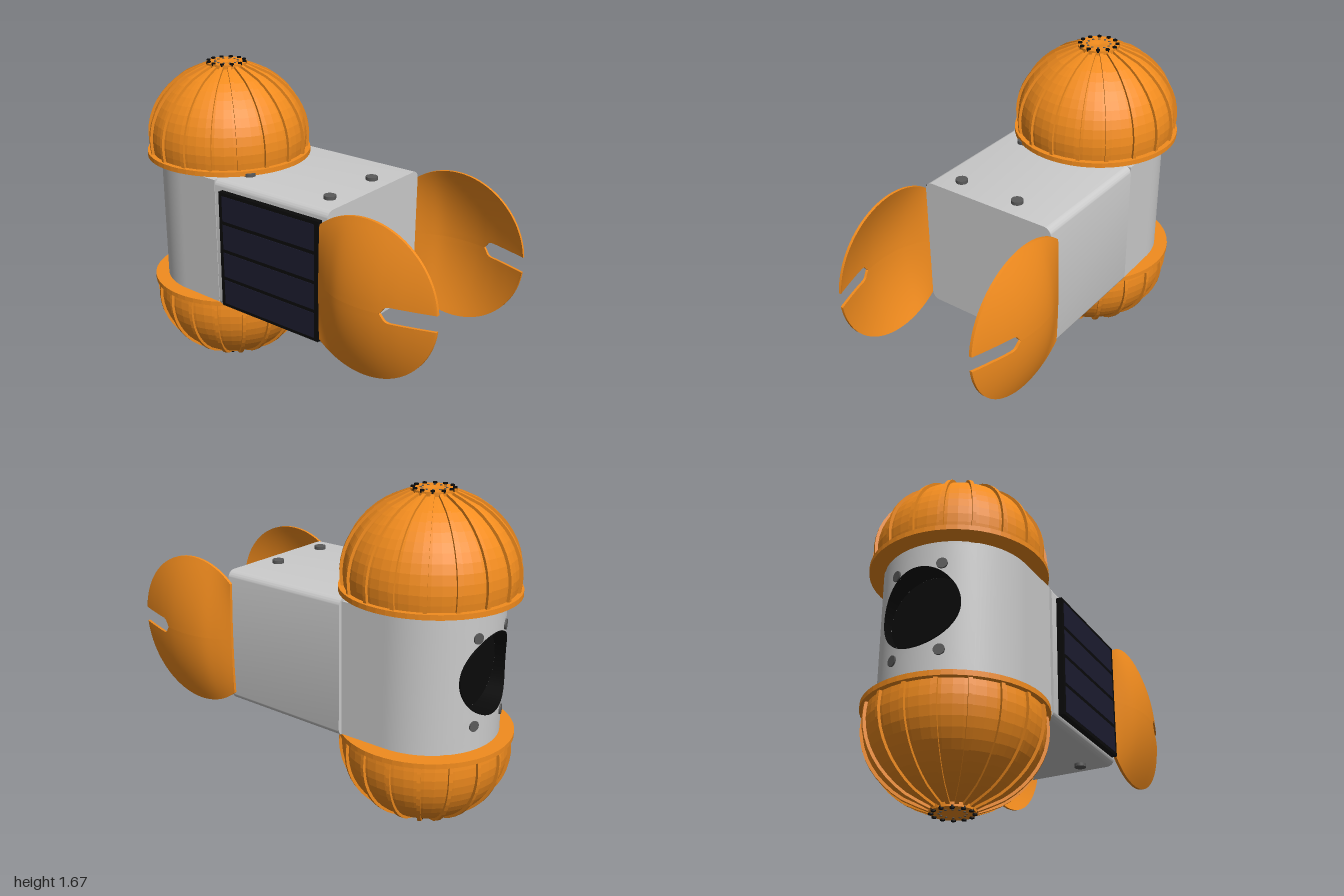
import * as THREE from 'three';
import { toCreasedNormals } from 'three/addons/utils/BufferGeometryUtils.js';

const mat = (color, extra = {}) => new THREE.MeshStandardMaterial({ color, ...extra });
const GREY = mat(0xcccccc), SHELL = mat(0xcccccc, { side: THREE.DoubleSide });
const ORANGE = mat(0xf28c1e), ORANGE_FLAT = mat(0xf28c1e, { flatShading: true });
const BLACK = mat(0x0a0a0a, { side: THREE.DoubleSide }), CELL = mat(0x1c1c30), BOLT = mat(0x5a5a5a);

const CX = -0.57, R = 0.36;            // axis and radius of the round body
const Y0 = 0.495, Y1 = 1.165, HOLE_Y = 0.85, HOLE_R = 0.2, PATCH = 0.25;

function add(parent, name, geometry, material, x = 0, y = 0, z = 0) {
  const mesh = new THREE.Mesh(geometry, material);
  mesh.name = name;
  mesh.position.set(x, y, z);
  parent.add(mesh);
  return mesh;
}

// Moves every vertex of a geometry by a rule
function warp(geometry, rule) {
  const p = geometry.attributes.position, v = new THREE.Vector3();
  for (let i = 0; i < p.count; i++) {
    rule(v.fromBufferAttribute(p, i));
    p.setXYZ(i, v.x, v.y, v.z);
  }
  geometry.computeVertexNormals();
  return geometry;
}

const onCylinder = (z, r = R) => CX - Math.sqrt(r * r - z * z);

// Ribbed dome with a rim at y = 0, growing upwards
function dome(name) {
  const g = new THREE.Group();
  g.name = name;
  const curve = new THREE.SplineCurve([[0.406, 0.025], [0.412, 0.1], [0.397, 0.19], [0.358, 0.275],
    [0.298, 0.35], [0.215, 0.415], [0.105, 0.462]].map(p => new THREE.Vector2(...p)));
  const pts = curve.getPoints(12);
  const V = (x, y) => new THREE.Vector2(x, y);
  add(g, 'domeShell', new THREE.LatheGeometry(
    [V(0, 0), V(0.432, 0), V(0.432, 0.025), ...pts, V(0.105, 0.482), V(0.045, 0.482), V(0, 0.476)], 54), ORANGE_FLAT);
  // Ribs follow the dome profile
  const outer = pts.map(p => V(p.x + 0.014 * p.x / 0.41, p.y + 0.012 * p.y / 0.46));
  const inner = pts.map(p => V(p.x - 0.012, p.y - 0.004)).reverse();
  const rib = new THREE.ExtrudeGeometry(new THREE.Shape([...outer, ...inner]), { depth: 0.018, bevelEnabled: false });
  rib.translate(0, 0, -0.009);
  for (let i = 0; i < 18; i++) add(g, 'domeRib', rib, ORANGE).rotation.y = i * Math.PI / 9;
  // Two rings of screws on the hub
  const ring = (n, r, size, h, m) => {
    const screw = new THREE.CylinderGeometry(size, size, h, 10);
    for (let i = 0; i < n; i++) {
      const a = i / n * Math.PI * 2;
      add(g, 'hubScrew', screw, m, r * Math.cos(a), 0.482, r * Math.sin(a));
    }
  };
  ring(12, 0.095, 0.011, 0.014, BLACK);
  ring(12, 0.06, 0.006, 0.006, BOLT);
  return g;
}

// Bulging round fin with an end slot, cut straight at the box
function fin(name) {
  const g = new THREE.Group();
  g.name = name;
  const xc = 0.61, r = 0.39, xa = 0.355, xb = 0.998, slot = 0.04, slotX = 0.795;
  const profile = new THREE.SplineCurve([[xa, 0.08], [0.43, 0.5], [0.51, 0.86], [0.6, 1], [0.7, 0.95],
    [0.8, 0.73], [0.9, 0.4], [xb, 0.03]].map(p => new THREE.Vector2(...p))).getPoints(80);
  const bulge = x => {
    const i = Math.max(1, profile.findIndex(p => p.x >= x - 1e-6));
    const a = profile[i - 1], b = profile[i];
    return a.y + (b.y - a.y) * (x - a.x) / (b.x - a.x);
  };
  for (const s of [1, -1]) {
    const geo = warp(new THREE.BoxGeometry(1, 1, 1, 72, 12, 1), v => {
      const x = xa + (xb - xa) * Math.sin((v.x + 0.5) * Math.PI / 2);
      const t = s > 0 ? v.y + 0.5 : 0.5 - v.y;
      const half = Math.sqrt(Math.max(0, r * r - (x - xc) ** 2));
      const d = Math.min(0, x - slotX);
      const low = Math.sqrt(Math.max(0, slot * slot - d * d));
      const y = low + (Math.max(half, low) - low) * t;
      const z = 0.392 + 0.088 * bulge(x) * (1 - (y / half) ** 2);
      v.set(x, s * y, z + (v.z > 0 ? 0 : -0.014));
    });
    add(g, 'finHalf', geo, ORANGE);
  }
  g.position.y = 0.82;
  return g;
}

// Round front body with a circular opening facing -x
function roundBody() {
  const g = new THREE.Group();
  g.name = 'roundBody';
  const mid = (Y0 + Y1) / 2, halfH = (Y1 - Y0) / 2;
  // Wall patch between the round opening and a rectangle
  add(g, 'wallAroundOpening', warp(new THREE.RingGeometry(1, 2, 96, 8), v => {
    const t = Math.hypot(v.x, v.y) - 1, a = Math.atan2(v.y, v.x), c = Math.cos(a), s = Math.sin(a);
    const k = Math.min(PATCH / Math.max(Math.abs(c), 1e-6), halfH / Math.max(Math.abs(s), 1e-6));
    const z = c * (HOLE_R + (k - HOLE_R) * t);
    const y = (HOLE_Y + HOLE_R * s) * (1 - t) + (mid + k * s) * t;
    v.set(onCylinder(z), y, z);
  }), SHELL);
  // Remaining wall: arc, straight cheek, flat rear, mirrored
  const side = [], a0 = Math.asin(PATCH / R);
  for (let i = 0; i <= 16; i++) {
    const a = a0 + (Math.PI / 2 - a0) * i / 16;
    side.push([CX - R * Math.cos(a), R * Math.sin(a)]);
  }
  side.push([-0.33, 0.365]);
  const path = [...side, ...side.map(([x, z]) => [x, -z]).reverse()];
  const n = path.length - 1;
  const wall = warp(new THREE.PlaneGeometry(1, 1, n, 1), v => {
    const [x, z] = path[Math.round((v.x + 0.5) * n)];
    v.set(x, mid + v.y * halfH * 2, z);
  });
  add(g, 'bodyWall', toCreasedNormals(wall, 0.6), SHELL);
  // End caps
  const plan = new THREE.Shape();
  plan.moveTo(-0.333, -0.362);
  plan.lineTo(-0.333, 0.362);
  plan.absarc(CX, 0, R - 0.003, Math.PI / 2, Math.PI * 1.5, false);
  const cap = new THREE.ExtrudeGeometry(plan, { depth: 0.01, bevelEnabled: false, curveSegments: 40 });
  cap.rotateX(-Math.PI / 2);
  add(g, 'bodyCap', cap, GREY, 0, Y0, 0);
  add(g, 'bodyCap', cap, GREY, 0, Y1 - 0.01, 0);
  // Dark liner and floor of the opening
  add(g, 'openingLiner', warp(new THREE.CylinderGeometry(HOLE_R, HOLE_R, 1, 64, 1, true), v => {
    const z = v.z;
    v.set(v.y > 0 ? onCylinder(z, R + 0.008) : -0.82, HOLE_Y + v.x, z);
  }), BLACK);
  add(g, 'openingFloor', new THREE.CircleGeometry(HOLE_R, 48), BLACK, -0.82, HOLE_Y, 0).rotation.y = -Math.PI / 2;
  // Bolts beside the opening
  const bolt = new THREE.CylinderGeometry(0.026, 0.026, 0.014, 20).rotateZ(Math.PI / 2);
  for (const z of [-0.12, 0.12]) for (const y of [0.62, 1.05]) {
    add(g, 'openingBolt', bolt, BOLT, onCylinder(z), y, z).rotation.y = Math.asin(z / R);
  }
  return g;
}

// Main box with rounded long edges, a panel and bolts
function mainBox() {
  const g = new THREE.Group();
  g.name = 'mainBox';
  const w = 0.372, h = 0.35, c = 0.04, s = new THREE.Shape();
  s.absarc(w - c, h - c, c, 0, Math.PI / 2);
  s.absarc(c - w, h - c, c, Math.PI / 2, Math.PI);
  s.absarc(c - w, c - h, c, Math.PI, Math.PI * 1.5);
  s.absarc(w - c, c - h, c, Math.PI * 1.5, Math.PI * 2);
  const box = new THREE.ExtrudeGeometry(s, { depth: 0.705, bevelEnabled: false, curveSegments: 8 });
  add(g, 'boxHull', toCreasedNormals(box.rotateY(Math.PI / 2), 0.6), GREY, -0.32, 0.826, 0);
  add(g, 'panelFrame', new THREE.BoxGeometry(0.625, 0.62, 0.035), BLACK, 0.042, 0.82, 0.383);
  for (let i = 0; i < 4; i++) {
    add(g, 'panelCell', new THREE.BoxGeometry(0.58, 0.132, 0.01), CELL, 0.042, 0.593 + i * 0.151, 0.398);
  }
  const bolt = new THREE.CylinderGeometry(0.03, 0.03, 0.03, 24);
  for (const x of [-0.22, 0.285]) for (const z of [-0.11, 0.225]) for (const y of [0.474, 1.178]) {
    add(g, 'boxBolt', bolt, BOLT, x, y, z);
  }
  return g;
}

export function createModel() {
  const model = new THREE.Group();
  model.name = 'capsuleMachine';
  const upper = dome('upperDome'), lower = dome('lowerDome');
  upper.position.set(CX, 1.18, 0);
  lower.position.set(CX, 0.49, 0);
  lower.rotation.x = Math.PI;
  const frontFin = fin('frontFin'), backFin = fin('backFin');
  backFin.rotation.x = Math.PI;
  model.add(upper, lower, roundBody(), mainBox(), frontFin, backFin);
  return model;
}
